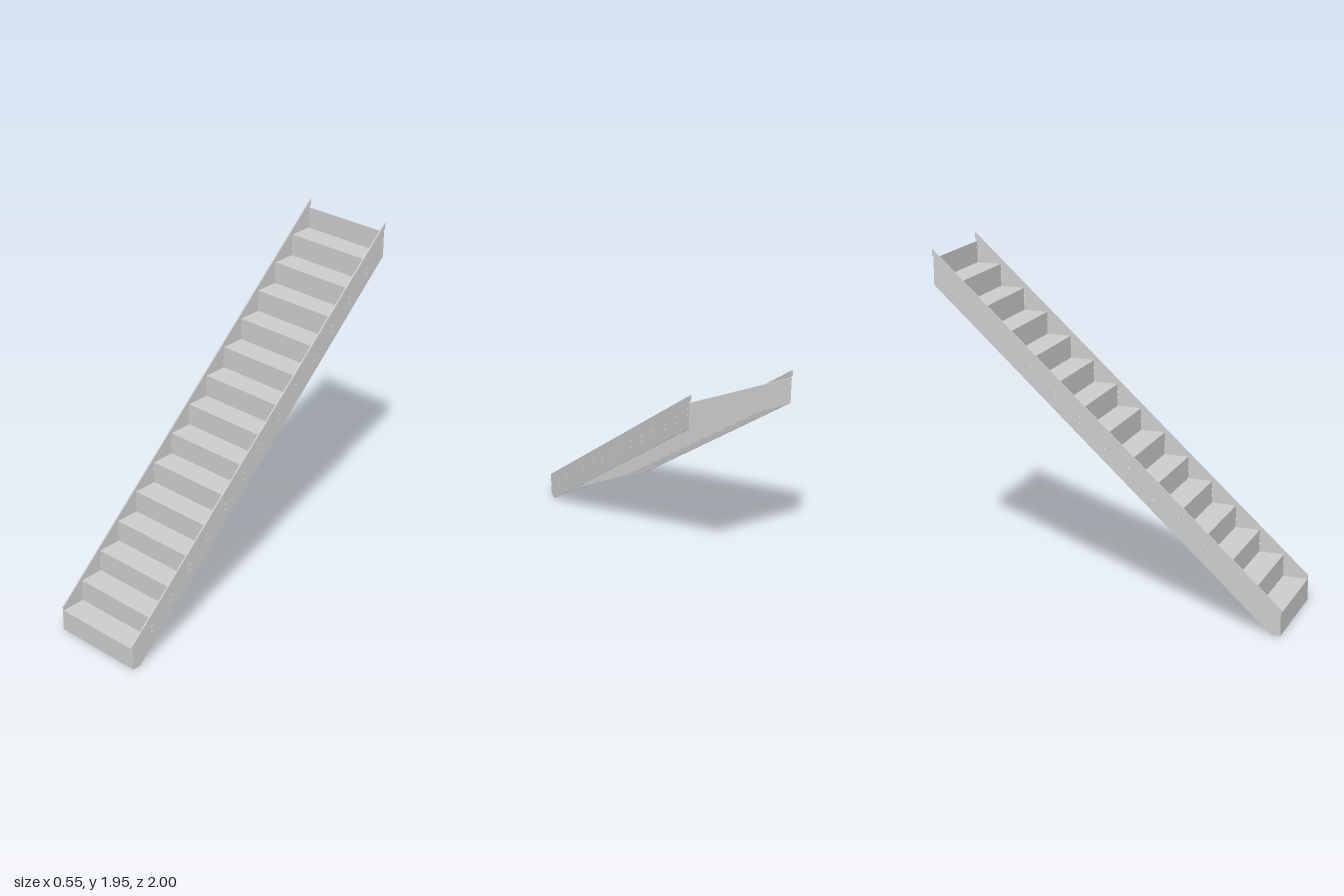
import * as THREE from 'three';

const RISE = 0.127, GO = 0.1418, STEPS = 15;
const HALF = 0.273, PLATE = 0.008, SHEET = 0.005;
const INNER = HALF - PLATE;
const mat = new THREE.MeshStandardMaterial({ color: 0xcccccc });

function box(name, w, h, d, x, y, z) {
  const m = new THREE.Mesh(new THREE.BoxGeometry(w, h, d), mat);
  m.name = name;
  m.position.set(x, y, z);
  return m;
}

// front plane of each riser
const riserZ = (i) => 1 - GO * i;

// sloped side plate with bolt holes, drawn as (-z, y) and extruded along x
function stringerGeometry() {
  const s = new THREE.Shape();
  [[-1, 0], [-0.95, 0], [0.987, 1.75], [0.987, 1.905], [1, 1.915], [1, 1.95], [-1, 0.15]]
    .forEach(([u, v], i) => (i ? s.lineTo(u, v) : s.moveTo(u, v)));
  s.closePath();
  for (let i = 0; i < STEPS; i++) {
    for (const dy of [0.045, 0.08]) {
      for (const dz of i === 0 ? [0.008] : [0, 0.013]) {
        if (i === STEPS - 1 && dz > 0) continue;
        const hole = new THREE.Path();
        hole.absarc(-riserZ(i) + dz - (i === STEPS - 1 ? 0.008 : 0), RISE * i + dy, 0.0045, 0, Math.PI * 2, true);
        s.holes.push(hole);
      }
    }
  }
  const g = new THREE.ExtrudeGeometry(s, { depth: PLATE, bevelEnabled: false, curveSegments: 5 });
  return g.rotateY(Math.PI / 2);
}

export function createModel() {
  const model = new THREE.Group();
  model.name = 'staircase';

  // side stringers
  const sg = stringerGeometry();
  for (const [name, x] of [['leftStringer', INNER], ['rightStringer', -HALF]]) {
    const m = new THREE.Mesh(sg, mat);
    m.name = name;
    m.position.x = x;
    model.add(m);
  }

  const boltGeo = new THREE.CylinderGeometry(0.004, 0.004, SHEET + 0.004, 8).rotateX(Math.PI / 2);
  for (let i = 0; i < STEPS; i++) {
    const step = new THREE.Group();
    step.name = 'step' + (i + 1);
    const z = riserZ(i), y0 = RISE * i;
    const last = i === STEPS - 1;
    const top = last ? 1.9 : y0 + RISE;

    // riser; the first and last close the ends over the full width
    const w = i === 0 || last ? HALF * 2 : INNER * 2;
    const base = last ? 1.752 : y0;
    const rz = last ? -0.9895 : z - SHEET / 2;
    step.add(box('riser', w, top - base, SHEET, 0, (top + base) / 2, rz));

    // tread running back to the next riser
    if (!last) step.add(box('tread', INNER * 2, SHEET, GO, 0, top - SHEET / 2, z - GO / 2));

    // bolts at the riser ends and along its foot
    const bolts = [];
    for (const side of [-1, 1]) {
      for (const dy of [0.045, 0.085]) bolts.push([side * 0.258, y0 + dy]);
      if (i > 0) for (const x of [0.125, 0.18]) bolts.push([side * x, y0 + 0.003]);
    }
    for (const [x, y] of bolts) {
      const b = new THREE.Mesh(boltGeo, mat);
      b.name = 'bolt';
      b.position.set(x, y, i === 0 ? rz - 0.002 : rz);
      step.add(b);
    }
    model.add(step);
  }
  return model;
}
